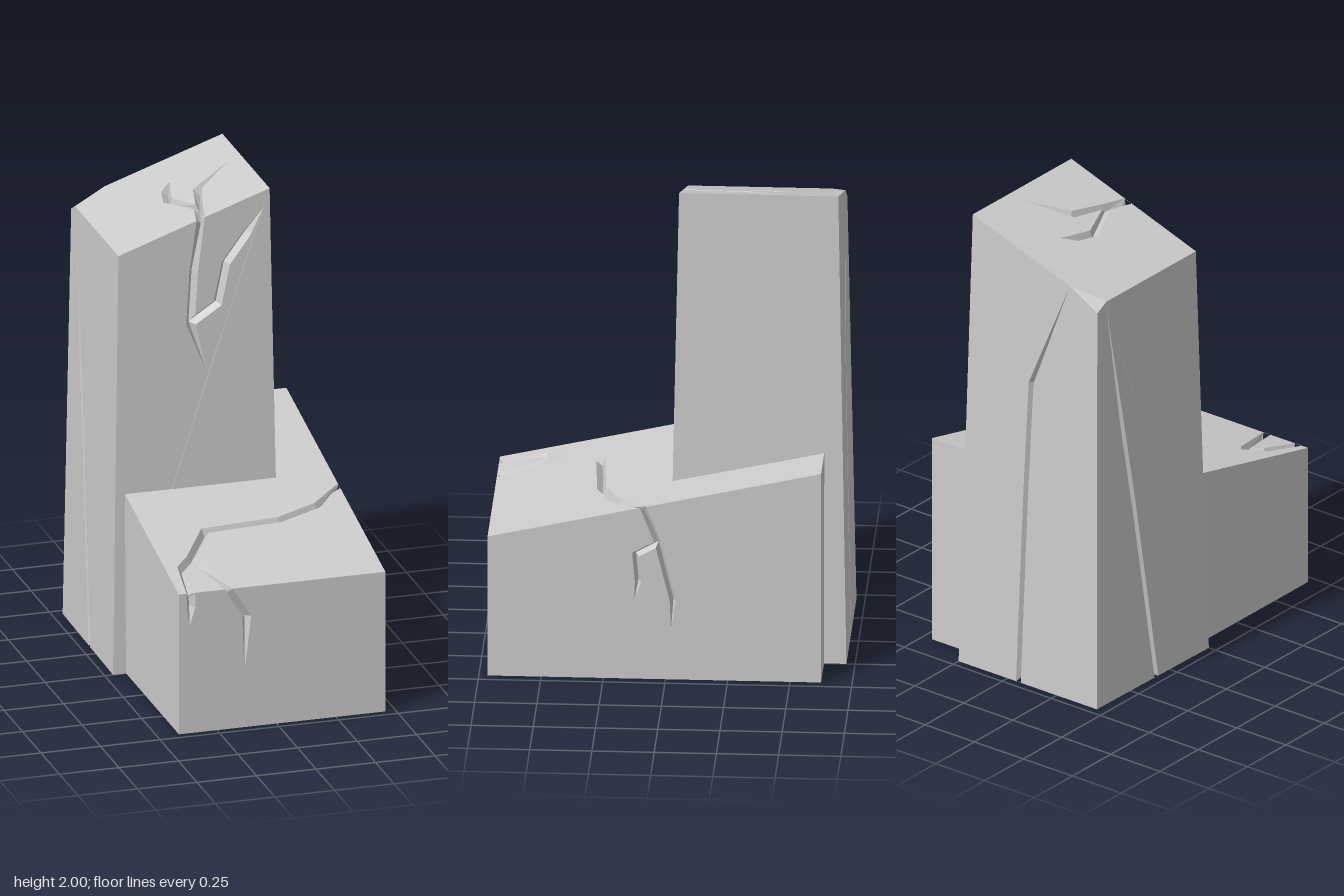
import * as THREE from 'three';

const V2 = (x, y) => new THREE.Vector2(x, y);
const V3 = (p) => new THREE.Vector3(...p);
const left = (d) => V2(-d.y, d.x);

// Walks round a branching crack. Nodes are [parent, u, v, edgeDirection?];
// a leaf with an edge direction opens onto the panel's rim, other leaves taper to a point.
function crackContour(nodes, w, depth) {
  const pos = nodes.map((n) => V2(n[1], n[2]));
  const links = nodes.map(() => []);
  nodes.forEach((n, i) => {
    if (n[0] >= 0) {
      links[i].push(n[0]);
      links[n[0]].push(i);
    }
  });
  const ring = [];
  let a = 0, b = links[0][0];
  const startA = a, startB = b;
  do {
    const dir = pos[b].clone().sub(pos[a]).normalize();
    // next branch clockwise from the way we came
    const angle = (i) => Math.atan2(pos[i].y - pos[b].y, pos[i].x - pos[b].x);
    const order = links[b].slice().sort((i, j) => angle(j) - angle(i));
    const c = order[(order.indexOf(a) + 1) % order.length];
    if (c !== a) {
      const n1 = left(dir), n2 = left(pos[c].clone().sub(pos[b]).normalize());
      const k = w / Math.max(0.4, 1 + n1.dot(n2));
      ring.push({ rim: n1.add(n2).multiplyScalar(k).add(pos[b]), valley: pos[b], depth });
    } else if (nodes[b][3]) {
      const e = V2(...nodes[b][3]).normalize();
      if (e.dot(left(dir)) < 0) e.negate();
      const inward = left(e);
      if (inward.dot(dir) > 0) inward.negate();
      const base = pos[b].clone().addScaledVector(inward, 0.001);
      const valley = pos[b].clone().addScaledVector(inward, depth);
      ring.push({ rim: base.clone().addScaledVector(e, w), valley, depth, open: true });
      ring.push({ rim: base.clone().addScaledVector(e, -w), valley, depth });
    } else {
      ring.push({ rim: pos[b], valley: pos[b], depth: 0 });
    }
    [a, b] = [b, c];
  } while (a !== startA || b !== startB);
  return ring;
}

// One stone face with V-shaped cracks cut in it; axes choose the two drawing coordinates.
function panel(name, corners, axes, outward, cracks = [], w = 0.018, depth = 0.03) {
  const pts = corners.map(V3), out = V3(outward), [i, j] = axes;
  const k = 3 - i - j;
  const normal = new THREE.Vector3(), centre = new THREE.Vector3();
  pts.forEach((p, n) => {
    normal.add(p.clone().cross(pts[(n + 1) % pts.length]));
    centre.addScaledVector(p, 1 / pts.length);
  });
  normal.normalize();
  if (normal.dot(out) < 0) normal.negate();
  const lift = (q, d = 0) => {
    const p = new THREE.Vector3().setComponent(i, q.x).setComponent(j, q.y);
    p.setComponent(k, centre.getComponent(k));
    const off = p.clone().sub(centre).dot(normal) / normal.getComponent(k);
    p.setComponent(k, p.getComponent(k) - off);
    return p.addScaledVector(normal, -d);
  };
  const positions = [];
  const tri = (a, b, c) => {
    const n = b.clone().sub(a).cross(c.clone().sub(a));
    if (n.lengthSq() < 1e-16) return;
    const loop = n.dot(normal) < 0 ? [a, c, b] : [a, b, c];
    loop.forEach((p) => positions.push(p.x, p.y, p.z));
  };

  // flat stone round the cracks
  const rings = cracks.map((c) => crackContour(c, w, depth));
  const outline = pts.map((p) => V2(p.getComponent(i), p.getComponent(j)));
  const holes = rings.map((r) => r.map((s) => s.rim.clone()));
  const all = [...pts, ...holes.flat().map((q) => lift(q))];
  THREE.ShapeUtils.triangulateShape(outline, holes)
    .forEach(([a, b, c]) => tri(all[a], all[b], all[c]));

  // sloping crack walls
  rings.forEach((r) => r.forEach((s, n) => {
    if (s.open) return;
    const t = r[(n + 1) % r.length];
    const p = lift(s.rim), q = lift(t.rim);
    const pv = lift(s.valley, s.depth), qv = lift(t.valley, t.depth);
    tri(p, q, qv);
    tri(p, qv, pv);
  }));

  const geo = new THREE.BufferGeometry();
  geo.setAttribute('position', new THREE.Float32BufferAttribute(positions, 3));
  geo.computeVertexNormals();
  const mesh = new THREE.Mesh(geo, new THREE.MeshStandardMaterial({
    color: 0xcccccc, flatShading: true, side: THREE.DoubleSide,
  }));
  mesh.name = name;
  return mesh;
}

const X = 0, Y = 1, Z = 2;

// Low front block with a sloping top
function lowBlock() {
  const g = new THREE.Group();
  g.name = 'lowBlock';
  const [l, r, f, b] = [-0.41, 0.457, 0.715, -0.625];
  const A = [l, 0, f], B = [r, 0, f], C = [r, 0, b], D = [l, 0, b];
  const E = [l, 0.6, f], F = [r, 0.6, f], G = [r, 0.9, b], H = [l, 0.9, b];
  g.add(
    panel('blockTop', [E, F, G, H], [X, Z], [0, 1, 0], [[
      [-1, r, 0.09, [0, 1]], [0, 0.33, 0.205], [1, 0.15, 0.275], [2, -0.17, 0.295],
      [3, -0.28, 0.465], [4, -0.34, 0.53], [5, -0.36, f, [1, 0]], [4, -0.2, f, [1, 0]],
    ]]),
    panel('blockFront', [A, B, F, E], [X, Y], [0, 0, 1], [
      [[-1, -0.36, 0.6, [1, 0]], [0, -0.358, 0.54], [1, -0.365, 0.46]],
      [[-1, -0.2, 0.6, [1, 0]], [0, -0.125, 0.47], [1, -0.135, 0.23]],
    ]),
    panel('blockLeftSide', [B, C, G, F], [Z, Y], [1, 0, 0], [[
      [-1, 0.09, 0.74, [1, -0.224]], [0, 0.03, 0.585], [1, -0.03, 0.34], [2, -0.022, 0.21],
      [1, 0.12, 0.535], [4, 0.11, 0.42], [5, 0.125, 0.34],
    ]], 0.013),
    panel('blockRightSide', [A, E, H, D], [Z, Y], [-1, 0, 0]),
    panel('blockBack', [C, D, H, G], [X, Y], [0, 0, -1]),
    panel('blockBottom', [A, B, C, D], [X, Z], [0, -1, 0]),
  );
  return g;
}

// Tall tapered pillar with a slanted top and one chipped back corner
function pillar() {
  const g = new THREE.Group();
  g.name = 'pillar';
  const A = [-0.465, 0, 0], B = [0.235, 0, 0], C = [0.25, 0, -0.715], D = [-0.455, 0, -0.715];
  const E = [-0.43, 1.78, -0.04], F = [0.205, 2, -0.04], G = [0.205, 2, -0.68];
  const chipBack = [-0.29, 1.83, -0.68], chipSide = [-0.43, 1.78, -0.62];
  const chipCorner = [-0.43, 1.75, -0.68];
  g.add(
    panel('pillarTop', [E, F, G, chipBack, chipSide], [X, Z], [0, 1, 0], [[
      [-1, -0.085, -0.04, [1, 0]], [0, -0.06, -0.15], [1, -0.135, -0.325], [2, -0.115, -0.415],
      [3, -0.08, -0.475], [1, -0.015, -0.31], [5, 0.155, -0.43],
    ]]),
    panel('pillarChip', [chipBack, chipSide, chipCorner], [X, Z], [0, 1, 0]),
    panel('pillarFront', [A, B, F, E], [X, Y], [0, 0, 1], [[
      [-1, -0.085, 1.8995, [1, 0.3465]], [0, -0.115, 1.68], [1, -0.13, 1.46], [2, -0.06, 1.24],
      [2, -0.015, 1.535], [4, 0.02, 1.7], [5, 0.11, 1.82], [6, 0.175, 1.915],
    ]]),
    panel('pillarLeftSide', [B, C, G, F], [Z, Y], [1, 0, 0]),
    panel('pillarRightSide', [A, E, chipSide, chipCorner, D], [Z, Y], [-1, 0, 0], [[
      [-1, -0.622, 1.765], [0, -0.53, 1.2], [1, -0.46, 0.8], [2, -0.335, 0, [1, 0]],
    ]], 0.012, 0.02),
    panel('pillarBack', [C, D, chipCorner, chipBack, G], [X, Y], [0, 0, -1], [[
      [-1, -0.285, 1.815], [0, -0.1, 1.34], [1, -0.08, 0.85], [2, -0.055, 0, [1, 0]],
    ]], 0.012, 0.02),
    panel('pillarBottom', [A, B, C, D], [X, Z], [0, -1, 0], [
      [[-1, -0.055, -0.715, [1, 0]], [0, -0.04, -0.66]],
      [[-1, -0.4603, -0.335, [0, 1]], [0, -0.42, -0.33]],
    ], 0.012, 0.02),
  );
  return g;
}

export function createModel() {
  const model = new THREE.Group();
  model.name = 'crackedStones';
  model.add(lowBlock(), pillar());
  return model;
}
